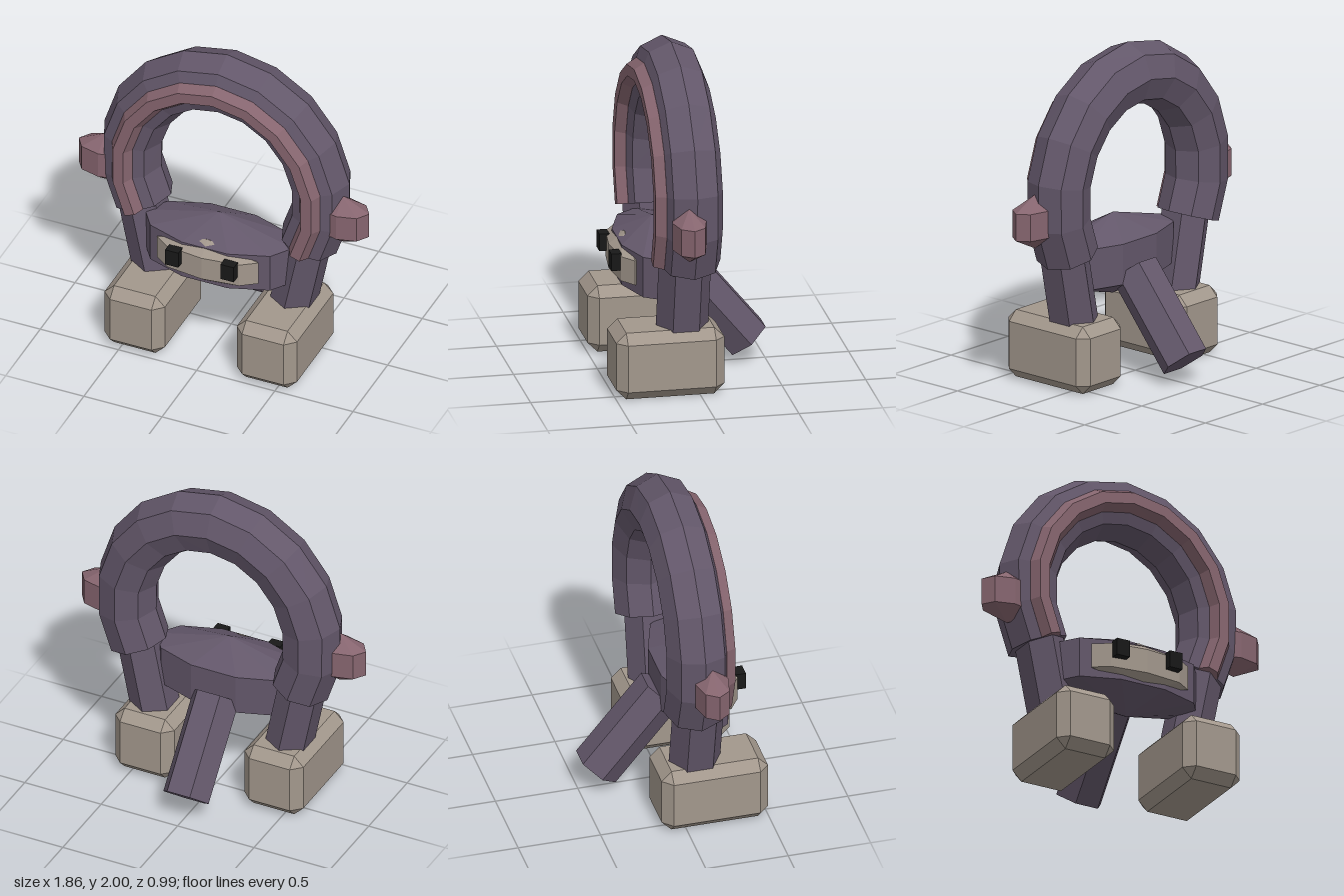
import * as THREE from 'three';
import { ConvexGeometry } from 'three/addons/geometries/ConvexGeometry.js';

const mat = (color) => new THREE.MeshStandardMaterial({ color, flatShading: true });

// Sweeps an oval n-gon along the arch; the normal comes from the neighbouring points
function archSweep(sides, radialTop, radialEnd, depth, z) {
  const steps = 12, pts = [], pos = [], idx = [];
  for (let i = 0; i <= steps; i++) {
    const t = THREE.MathUtils.degToRad(-30 + 20 * i);
    pts.push(new THREE.Vector3(0.61 * Math.cos(t), 1.15 + 0.657 * Math.sin(t), z));
  }
  pts.forEach((p, i) => {
    const T = pts[Math.min(i + 1, steps)].clone().sub(pts[Math.max(i - 1, 0)]).normalize();
    const r = THREE.MathUtils.lerp(radialTop, radialEnd, Math.abs(i / 6 - 1));
    for (let j = 0; j < sides; j++) {
      const s = (j / sides) * Math.PI * 2, a = r * Math.cos(s);
      pos.push(p.x + T.y * a, p.y - T.x * a, z + depth * Math.sin(s));
    }
  });
  for (let i = 0; i < steps; i++) {
    for (let j = 0; j < sides; j++) {
      const a = i * sides + j, b = i * sides + (j + 1) % sides;
      idx.push(a, a + sides, b, b, a + sides, b + sides);
    }
  }
  const last = steps * sides; // end caps
  for (let j = 1; j < sides - 1; j++) idx.push(0, j, j + 1, last, last + j + 1, last + j);
  const geo = new THREE.BufferGeometry();
  geo.setAttribute('position', new THREE.Float32BufferAttribute(pos, 3));
  geo.setIndex(idx);
  geo.computeVertexNormals();
  return geo;
}

// Box with every edge cut by one flat chamfer
function chamferBox(w, h, d, c) {
  const pts = [];
  for (const x of [-1, 1]) for (const y of [-1, 1]) for (const z of [-1, 1]) {
    for (let k = 0; k < 3; k++) {
      const cut = [c, c, c];
      cut[k] = 0;
      pts.push(new THREE.Vector3(x * (w / 2 - cut[0]), y * (h / 2 - cut[1]), z * (d / 2 - cut[2])));
    }
  }
  return new ConvexGeometry(pts);
}

// Faceted stone: a sphere with three bands, stretched
const stone = (sides, rx, ry, rz) => new THREE.SphereGeometry(1, sides, 3).scale(rx, ry, rz);

export function createModel() {
  const model = new THREE.Group();
  const purple = mat(0x63576a), rose = mat(0x86656f), tan = mat(0xa2978c), black = mat(0x181818);

  const add = (name, geo, material, x = 0, y = 0, z = 0) => {
    const mesh = new THREE.Mesh(geo, material);
    mesh.name = name;
    mesh.position.set(x, y, z);
    model.add(mesh);
    return mesh;
  };

  // Arch with its front stripe
  add('arch', archSweep(8, 0.193, 0.18, 0.187, 0.06), purple);
  add('archStripe', archSweep(6, 0.07, 0.065, 0.07, 0.22), rose);

  // Head, muzzle and tail
  add('head', stone(10, 0.548, 0.2475, 0.254), purple, 0, 0.6875, 0.175);
  add('muzzle', stone(8, 0.375, 0.15, 0.107), tan, 0, 0.695, 0.34);
  const tailGeo = new THREE.CylinderGeometry(0.148, 0.148, 0.622, 6).rotateY(Math.PI / 6);
  add('tail', tailGeo, purple, 0, 0.375, -0.193).rotation.x = Math.atan2(0.395, 0.48);

  // Mirrored parts
  for (const [side, s] of [['left', 1], ['right', -1]]) {
    add(side + 'Knob', stone(8, 0.195, 0.165, 0.117), rose, s * 0.76, 1.065, 0.105);
    const legGeo = new THREE.CylinderGeometry(0.157, 0.157, 0.5, 6).scale(0.9, 1, 1);
    add(side + 'Leg', legGeo, purple, s * 0.49, 0.625, 0.085).rotation.z = -s * 0.2;
    add(side + 'Foot', chamferBox(0.385, 0.41, 0.645, 0.06), tan, s * 0.4225, 0.205, 0.1775);
    add(side + 'Eye', new THREE.BoxGeometry(0.085, 0.105, 0.06), black, s * 0.177, 0.732, 0.43);
  }
  return model;
}
